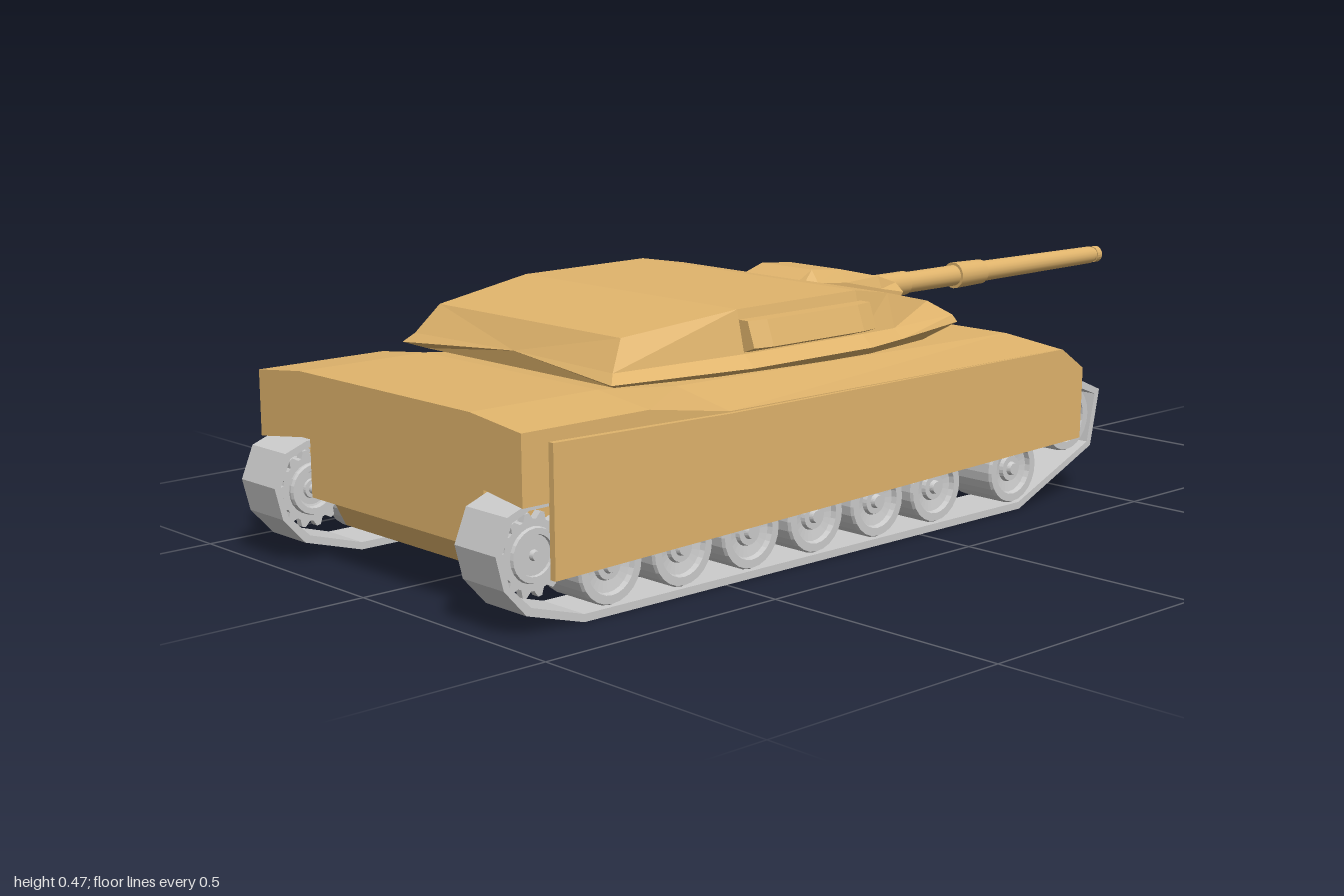
import * as THREE from 'three';

const tan = new THREE.MeshStandardMaterial({ color: 0xe0b46c, flatShading: true });
const grey = new THREE.MeshStandardMaterial({ color: 0xcccccc, flatShading: true });
const smoothTan = new THREE.MeshStandardMaterial({ color: 0xe0b46c });

function part(name, geometry, material, parent) {
  const mesh = new THREE.Mesh(geometry, material);
  mesh.name = name;
  parent.add(mesh);
  return mesh;
}

// Skin a row of equal-length rings of [x, y, z] and close both ends
function loft(rings) {
  const n = rings[0].length, pos = rings.flat(2);
  const idx = [];
  for (let r = 0; r < rings.length - 1; r++)
    for (let i = 0; i < n; i++) {
      const a = r * n + i, b = r * n + (i + 1) % n;
      idx.push(a, b, a + n, b, b + n, a + n);
    }
  [0, rings.length - 1].forEach((r, end) => {
    const c = pos.length / 3;
    for (let k = 0; k < 3; k++) pos.push(rings[r].reduce((s, p) => s + p[k], 0) / n);
    for (let i = 0; i < n; i++) {
      const a = r * n + i, b = r * n + (i + 1) % n;
      idx.push(...(end ? [c, a, b] : [c, b, a]));
    }
  });
  // turn the faces outward if the signed volume is negative
  const v = i => new THREE.Vector3().fromArray(pos, i * 3);
  let volume = 0;
  for (let i = 0; i < idx.length; i += 3) volume += v(idx[i]).dot(v(idx[i + 1]).cross(v(idx[i + 2])));
  if (volume < 0) idx.reverse();
  const g = new THREE.BufferGeometry();
  g.setAttribute('position', new THREE.Float32BufferAttribute(pos, 3));
  g.setIndex(idx);
  const flat = g.toNonIndexed();
  flat.computeVertexNormals();
  return flat;
}

// Half section [x, y, z?] at depth z, mirrored to a full ring
const place = (z, pts) => pts.map(p => [p[0], p[1], p[2] ?? z]);
const mirrored = (z, pts) => {
  const half = place(z, pts);
  return [...half, ...half.map(([x, y, w]) => [-x, y, w]).reverse()];
};
const flip = (rings, s) => rings.map(r => r.map(([x, y, z]) => [s * x, y, z]));

// Side profile of [z, y] points extruded from x0 to x1
function slab(points, x0, x1, hole) {
  const vec = list => list.map(p => new THREE.Vector2(...p));
  const shape = new THREE.Shape(vec(points));
  if (hole) shape.holes.push(new THREE.Path(vec(hole)));
  return new THREE.ExtrudeGeometry(shape, { depth: x1 - x0, bevelEnabled: false })
    .rotateY(-Math.PI / 2).translate(x1, 0, 0);
}

// Road wheel turned about the x axis, dished between rim and hub
function wheelGeometry(r) {
  const half = [[0, 0.058], [0.16, 0.058], [0.2, 0.05], [0.36, 0.05], [0.4, 0.042],
    [0.7, 0.046], [0.74, 0.056], [0.96, 0.056], [1, 0.05]];
  const profile = [...half.map(([a, x]) => [a * r, x]), ...half.map(([a, x]) => [a * r, -x]).reverse()];
  return new THREE.LatheGeometry(profile.reverse().map(p => new THREE.Vector2(...p)), 24).rotateZ(-Math.PI / 2);
}

function gearProfile(z, y, r, teeth) {
  const pts = [];
  for (let i = 0; i < teeth * 4; i++) {
    const a = i / (teeth * 4) * Math.PI * 2, rr = i % 4 < 2 ? r : r * 0.84;
    pts.push([z + Math.cos(a) * rr, y + Math.sin(a) * rr]);
  }
  return pts;
}

function runningGear(s) {
  const g = new THREE.Group();
  g.name = s > 0 ? 'leftRunningGear' : 'rightRunningGear';
  const span = (a, b) => (s > 0 ? [a, b] : [-b, -a]);
  // track belt
  const outer = [[0.82, 0], [0.94, 0.035], [0.985, 0.085], [1, 0.145], [0.975, 0.205], [0.93, 0.222],
    [-0.46, 0.24], [-0.535, 0.208], [-0.51, 0.095], [-0.29, 0]];
  const inner = [[0.82, 0.014], [0.93, 0.047], [0.974, 0.09], [0.987, 0.145], [0.965, 0.195], [0.93, 0.209],
    [-0.455, 0.226], [-0.521, 0.2], [-0.499, 0.104], [-0.287, 0.014]];
  part('track', slab(outer, ...span(0.268, 0.377), inner), grey, g);
  // road wheels and front idler
  const wheel = wheelGeometry(0.068);
  [0.759, 0.598, 0.437, 0.276, 0.115, -0.046, -0.271].forEach(z =>
    part('roadWheel', wheel, grey, g).position.set(s * 0.32, 0.084, z));
  part('idlerWheel', wheel, grey, g).position.set(s * 0.32, 0.163, -0.435);
  // toothed drive sprocket
  [[0.275, 0.29], [0.355, 0.37]].forEach(([a, b]) =>
    part('sprocketRing', slab(gearProfile(0.918, 0.132, 0.072, 14), ...span(a, b)), grey, g));
  part('sprocketHub', wheelGeometry(0.048), grey, g).position.set(s * 0.32, 0.132, 0.918);
  return g;
}

function hull() {
  const g = new THREE.Group();
  g.name = 'hull';
  // wide upper body, sloped at the bow
  const section = (z, top, edge, x) => mirrored(z, [[0.25, top], [x, edge], [x, 0.217], [0.25, 0.235]]);
  part('upperHull', loft([
    section(0.95, 0.355, 0.34, 0.385),
    section(0.68, 0.355, 0.34, 0.385),
    section(0.5, 0.337, 0.312, 0.388),
    section(-0.39, 0.325, 0.31, 0.392),
    mirrored(0, [[0.27, 0.272, -0.493], [0.395, 0.265, -0.455], [0.395, 0.25, -0.45], [0.27, 0.262, -0.488]])
  ]), tan, g);
  // narrow lower tub between the tracks
  part('lowerHull', slab([[0.93, 0.24], [0.93, 0.12], [0.885, 0.105], [0.86, 0.056], [-0.195, 0.056],
    [-0.2, 0.11], [-0.485, 0.264], [-0.4, 0.28]], -0.256, 0.256), tan, g);
  // side skirts
  const skirt = [[0.895, 0.318], [0.895, 0.088], [-0.45, 0.123], [-0.455, 0.265], [-0.39, 0.31], [0.5, 0.31]];
  part('leftSkirt', slab(skirt, 0.384, 0.397), tan, g);
  part('rightSkirt', slab(skirt, -0.397, -0.384), tan, g);
  return g;
}

function turret() {
  const g = new THREE.Group();
  g.name = 'turret';
  part('turretBody', loft([
    mirrored(0, [[0.26, 0.44, 0.635], [0.285, 0.387, 0.675], [0.302, 0.37, 0.692], [0.27, 0.358, 0.66]]),
    mirrored(0.4, [[0.3, 0.468], [0.318, 0.39], [0.345, 0.368], [0.25, 0.34]]),
    mirrored(0.1, [[0.3, 0.47], [0.318, 0.39], [0.345, 0.368], [0.24, 0.33]]),
    mirrored(0, [[0.287, 0.453], [0.306, 0.388], [0.328, 0.37], [0.24, 0.33]])
  ]), tan, g);
  // armoured cheeks either side of the gun, and stowage boxes on the flanks
  const cheek = [
    place(0, [[0.1, 0.453], [0.287, 0.453], [0.306, 0.388], [0.328, 0.37], [0.24, 0.33], [0.1, 0.33]]),
    place(-0.185, [[0.12, 0.422, -0.13], [0.27, 0.422, -0.13], [0.293, 0.392, -0.178],
      [0.3, 0.378], [0.25, 0.342, -0.14], [0.11, 0.342, -0.14]])
  ];
  const box = [[0.4, 0], [0.36, 0.008], [0.13, 0.008], [0.09, 0]].map(([z, d]) =>
    place(z, [[0.295, 0.45], [0.327 + d, 0.45], [0.344 + d, 0.403], [0.3, 0.387]]));
  [1, -1].forEach(s => {
    part('cheek', loft(flip(cheek, s)), tan, g);
    part('sideBox', loft(flip(box, s)), tan, g);
  });
  // gun shield
  const shield = [[0.04, 0.448, 0.08], [-0.02, 0.472, 0.07], [-0.1, 0.465, 0.07], [-0.2, 0.442, 0.078]].map(([z, y, x]) =>
    mirrored(z, [[x, y], [0.088, y - 0.025], [0.088, 0.345]]));
  shield.push(mirrored(-0.26, [[0.07, 0.422], [0.092, 0.405], [0.08, 0.345, -0.225]]));
  part('gunShield', loft(shield), tan, g).position.x = -0.005;
  return g;
}

function gun() {
  const g = new THREE.Group();
  g.name = 'gun';
  // [start z, end z, start radius, end radius]
  [['barrelBase', -0.2, -0.36, 0.025, 0.025], ['barrelRear', -0.36, -0.52, 0.022, 0.022],
    ['boreSleeve', -0.515, -0.6, 0.028, 0.026], ['barrelFront', -0.6, -0.975, 0.022, 0.019],
    ['muzzle', -0.97, -0.99, 0.016, 0.016]].forEach(([name, z0, z1, r0, r1]) =>
    part(name, new THREE.CylinderGeometry(r1, r0, z0 - z1, 20).rotateX(-Math.PI / 2), smoothTan, g)
      .position.z = (z0 + z1) / 2);
  // hollow muzzle ring
  const ring = [[0.009, 0.985], [0.018, 0.985], [0.018, 1], [0.009, 1], [0.009, 0.985]];
  part('muzzleRing', new THREE.LatheGeometry(ring.map(p => new THREE.Vector2(...p)), 20).rotateX(-Math.PI / 2), tan, g);
  g.position.set(-0.005, 0.403, 0);
  return g;
}

export function createModel() {
  const model = new THREE.Group();
  model.name = 'tank';
  model.add(hull(), turret(), gun(), runningGear(1), runningGear(-1));
  return model;
}
